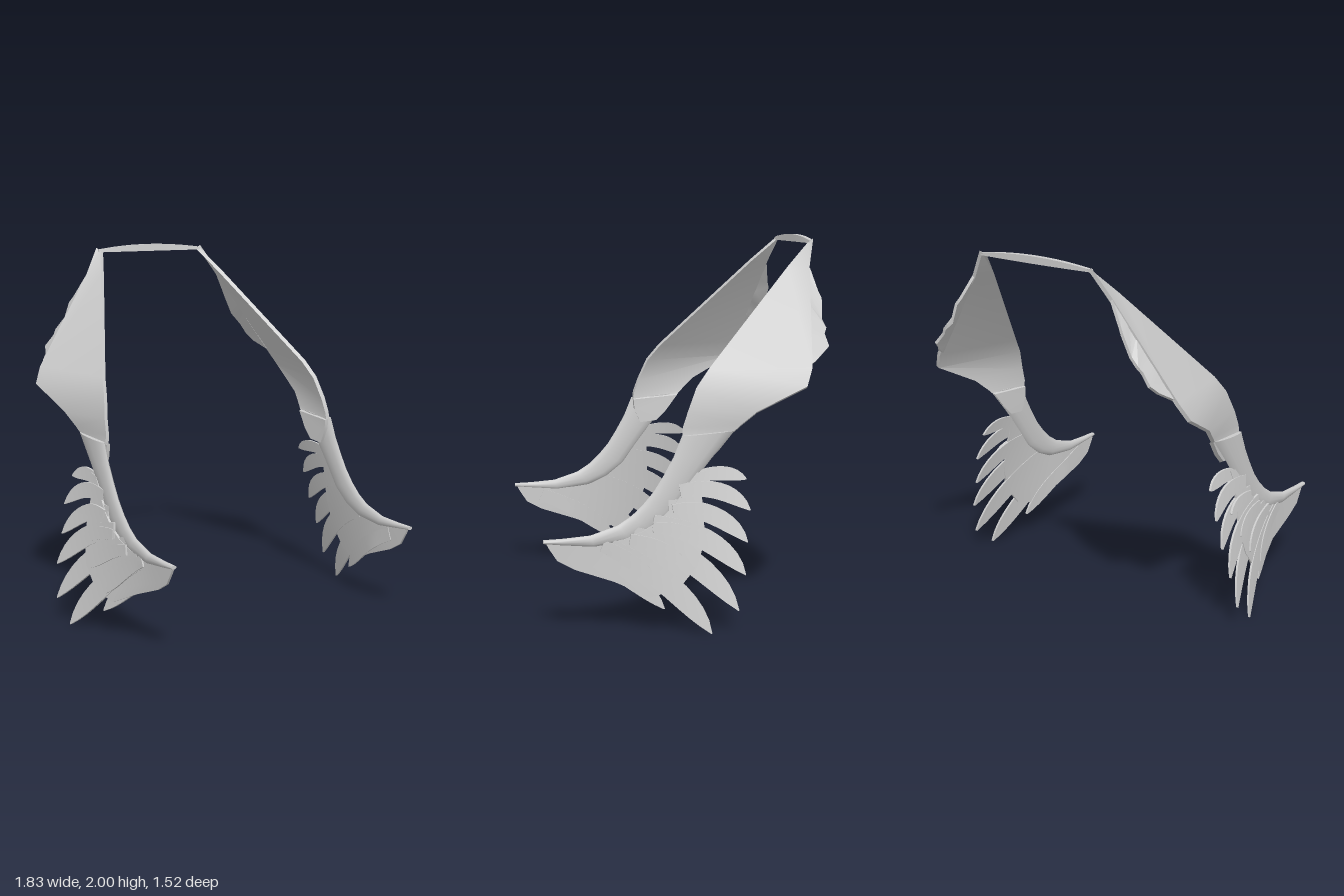
import * as THREE from 'three';
import { toCreasedNormals } from 'three/addons/utils/BufferGeometryUtils.js';

const material = new THREE.MeshStandardMaterial({ color: 0xcccccc });

// Closed solid through a list of rings; each ring is a loop of [x, y, z] (even count).
function loft(name, rings, side = 1, crease = 0.6) {
  const n = rings[0].length, last = (rings.length - 1) * n;
  const pts = rings.flat().map(([x, y, z]) => new THREE.Vector3(x * side, y, z));
  const index = [];
  const quad = (a, b, c, d) => index.push(a, b, c, a, c, d);
  for (let r = 0; r < last; r += n) {
    for (let i = 0; i < n; i++) {
      const j = (i + 1) % n;
      quad(r + i, r + j, r + n + j, r + n + i);
    }
  }
  for (let i = 0; i < n / 2 - 1; i++) {
    quad(n - 1 - i, n - 2 - i, i + 1, i);
    quad(last + i, last + i + 1, last + n - 2 - i, last + n - 1 - i);
  }
  // Turn the faces outward if the enclosed volume is negative
  let volume = 0;
  const cross = new THREE.Vector3();
  for (let i = 0; i < index.length; i += 3) {
    volume += pts[index[i]].dot(cross.crossVectors(pts[index[i + 1]], pts[index[i + 2]]));
  }
  if (volume < 0) index.reverse();
  const geometry = new THREE.BufferGeometry().setFromPoints(pts);
  geometry.setIndex(index);
  const mesh = new THREE.Mesh(toCreasedNormals(geometry, crease), material);
  mesh.name = name;
  return mesh;
}

// Plate: rows of [front point, rear point], thickened inward
function plate(name, rows, side, offset = [-0.02, -0.01, -0.003]) {
  const inner = (p) => p.map((v, i) => v + offset[i]);
  return loft(name, rows.map(([f, r]) => [f, r, inner(r), inner(f)]), side);
}

// The wing flares outward towards its lower rear
const flare = (z, y) => 0.755 + 0.325 * Math.max(0, 0.85 - y) * Math.max(0, 0.45 - z);

// Thin sheet on the flared surface: rows of [[z, y], [z, y]] edge pairs
function sheet(name, rows, side, layer = 0, half = 0.006) {
  const steps = 4;
  const rings = rows.map(([a, b]) => {
    const out = [], back = [];
    for (let i = 0; i <= steps; i++) {
      const t = i / steps;
      const z = a[0] + (b[0] - a[0]) * t, y = a[1] + (b[1] - a[1]) * t;
      const x = flare(z, y) + layer;
      out.push([x + half, y, z]);
      back.unshift([x - half, y, z]);
    }
    return [...out, ...back];
  });
  return loft(name, rings, side);
}

// Feather along a curved quill, widest past the middle, tapering to a point
function feather(name, [root, bend, tip, width], side, layer) {
  const curve = new THREE.QuadraticBezierCurve(
    new THREE.Vector2(...root), new THREE.Vector2(...bend), new THREE.Vector2(...tip));
  const rows = [];
  for (let i = 0; i <= 10; i++) {
    const t = i / 10, p = curve.getPoint(t), d = curve.getTangent(t);
    const w = width * (0.6 + 0.5 * t) * (1 - t ** 4) + 0.003;
    rows.push([[p.x - d.y * w, p.y + d.x * w], [p.x + d.y * w, p.y - d.x * w]]);
  }
  return sheet(name, rows, side, layer);
}

// Shoulder plate, front and rear edge from top to bottom
const shoulderRows = [
  [[0.34, 1.97, -0.735], [0.355, 1.985, -0.755]],
  [[0.41, 1.84, -0.6], [0.445, 1.84, -0.71]],
  [[0.675, 1.33, -0.11], [0.79, 1.34, -0.63]],
  [[0.705, 1.24, -0.04], [0.838, 1.25, -0.59]],
  [[0.73, 1.12, 0.01], [0.79, 1.12, -0.34]],
  [[0.738, 1.04, 0.038], [0.765, 1.05, -0.26]],
  [[0.745, 0.99, 0.04], [0.755, 1.02, -0.23]],
];
// Inner lip that carries the wing arm
const lipRows = [
  [[0.735, 1.0, 0.04], [0.745, 1.02, -0.23]],
  [[0.735, 0.94, 0.035], [0.735, 0.93, -0.16]],
  [[0.733, 0.86, 0.0], [0.733, 0.87, -0.1]],
];
// Scalloped trim behind the shoulder plate: outer edge points
const trimEdge = [
  [0.45, 1.83, -0.712], [0.52, 1.71, -0.738], [0.54, 1.68, -0.75], [0.585, 1.57, -0.74],
  [0.63, 1.53, -0.75], [0.65, 1.5, -0.735], [0.7, 1.44, -0.745], [0.72, 1.4, -0.7],
  [0.76, 1.37, -0.655],
];
// Wing arm: front and rear edge as [z, y] pairs
const armRows = [
  [[0.045, 1.0], [-0.23, 1.02]], [[0.09, 0.89], [-0.11, 0.88]], [[0.14, 0.8], [-0.03, 0.78]],
  [[0.19, 0.72], [0.03, 0.7]], [[0.25, 0.65], [0.1, 0.6]], [[0.31, 0.595], [0.2, 0.52]],
  [[0.38, 0.55], [0.31, 0.47]], [[0.52, 0.505], [0.5, 0.445]], [[0.66, 0.495], [0.66, 0.46]],
  [[0.76, 0.492], [0.76, 0.472]],
];
// Web between the arm and the feathers
const webRows = [
  [[0.75, 0.48], [0.735, 0.45]], [[0.65, 0.47], [0.69, 0.38]], [[0.55, 0.47], [0.6, 0.33]],
  [[0.45, 0.47], [0.4, 0.26]], [[0.35, 0.48], [0.22, 0.18]], [[0.25, 0.52], [0.08, 0.22]],
  [[0.17, 0.57], [-0.02, 0.34]], [[0.11, 0.63], [-0.06, 0.47]], [[0.06, 0.69], [-0.06, 0.6]],
  [[0.02, 0.75], [-0.05, 0.72]], [[-0.03, 0.81], [-0.08, 0.82]],
];
// Feathers: root, bend, tip as [z, y], then half width
const flightFeathers = [
  [[0.6, 0.42], [0.3, 0.3], [0.15, 0.12], 0.055],
  [[0.42, 0.44], [0.08, 0.26], [-0.08, 0.0], 0.07],
  [[0.3, 0.5], [-0.04, 0.4], [-0.22, 0.115], 0.07],
  [[0.2, 0.56], [-0.11, 0.51], [-0.26, 0.295], 0.065],
  [[0.12, 0.64], [-0.15, 0.63], [-0.28, 0.455], 0.055],
  [[0.06, 0.72], [-0.17, 0.76], [-0.3, 0.615], 0.05],
  [[0.0, 0.78], [-0.17, 0.83], [-0.29, 0.77], 0.04],
];
const coverFeathers = [
  [[0.46, 0.45], [0.28, 0.37], [0.17, 0.22], 0.045],
  [[0.32, 0.48], [0.14, 0.45], [0.03, 0.33], 0.042],
  [[0.2, 0.54], [0.05, 0.54], [-0.07, 0.455], 0.038],
  [[0.1, 0.63], [-0.03, 0.65], [-0.14, 0.6], 0.034],
];

function buildSide(side) {
  const group = new THREE.Group();
  group.name = side > 0 ? 'leftWing' : 'rightWing';
  group.add(plate('shoulderPlate', shoulderRows, side));
  group.add(plate('shoulderLip', lipRows, side));

  const rear = new THREE.LineCurve3(new THREE.Vector3(0.44, 1.84, -0.7), new THREE.Vector3(0.77, 1.35, -0.62));
  group.add(plate('shoulderTrim', trimEdge.map((p, i) =>
    [rear.getPoint(i / (trimEdge.length - 1)).toArray(), p]), side, [-0.015, -0.008, 0]));

  // Rounded arm section between its front and rear edge
  group.add(loft('wingArm', armRows.map(([f, r], k) => {
    const half = 0.023 - 0.0009 * k, ring = [];
    for (let i = 0; i < 12; i++) {
      const a = (i / 12) * Math.PI * 2, c = (1 + Math.cos(a)) / 2;
      ring.push([0.752 + 0.0009 * k + half * Math.sin(a), r[1] + (f[1] - r[1]) * c, r[0] + (f[0] - r[0]) * c]);
    }
    return ring;
  }), side, 0.9));

  group.add(sheet('wingWeb', webRows, side));
  flightFeathers.forEach((f, i) => group.add(feather('flightFeather', f, side, i % 2 ? 0.004 : -0.004)));
  coverFeathers.forEach((f) => group.add(feather('coverFeather', f, side, 0.01)));
  return group;
}

export function createModel() {
  const model = new THREE.Group();
  model.name = 'wingedHarness';
  // Arched strap joining both shoulders
  const rings = [];
  for (let i = 0; i <= 12; i++) {
    const u = i / 6 - 1, x = 0.35 * u, rise = 1 - u * u;
    const top = 1.975 + 0.025 * rise, back = -0.755 - 0.01 * rise;
    rings.push([[x, 1.96, -0.73], [x, top, -0.735], [x, top, back], [x, 1.962, back]]);
  }
  model.add(loft('strap', rings));
  model.add(buildSide(1), buildSide(-1));
  return model;
}
